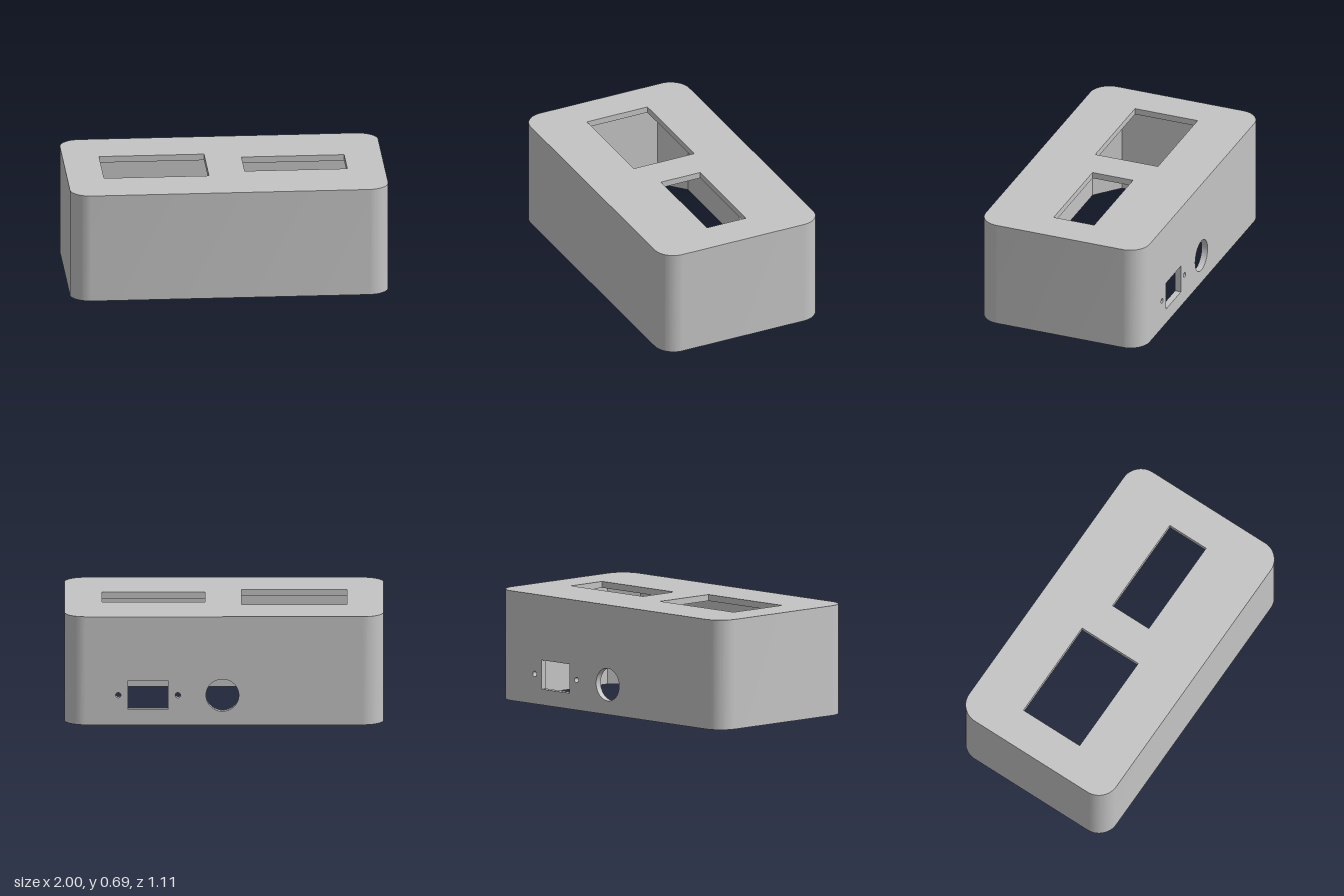
import * as THREE from 'three';
import { toCreasedNormals } from 'three/addons/utils/BufferGeometryUtils.js';

// Overall sizes
const HX = 1, HZ = 0.555, H = 0.695, R = 0.13;   // outer half sizes, height, corner radius
const IX = 0.965, IZ = 0.515, CEIL = 0.655;      // cavity half sizes and ceiling height
const CX = 0.81, CZ = 0.38;                      // where the corner posts start
const SCREW_DEPTH = 0.4;

const V = (x, y) => new THREE.Vector2(x, y);

// Counter-clockwise outlines
const rect = (x0, y0, x1, y1) => [V(x0, y0), V(x1, y0), V(x1, y1), V(x0, y1)];

function arc(cx, cy, r, start, sweep, n) {
  return Array.from({ length: n + 1 }, (_, i) => {
    const a = start + (sweep * i) / n;
    return V(cx + r * Math.cos(a), cy + r * Math.sin(a));
  });
}

const circle = (cx, cy, r, n) => arc(cx, cy, r, 0, Math.PI * 2, n).slice(0, n);

// Flat face with holes at depth w, facing +w (or -w when flipped)
function sheet(outline, holes, w, flip) {
  const shape = new THREE.Shape(outline);
  shape.holes = holes.map((h) => new THREE.Path(h));
  const g = new THREE.ShapeGeometry(shape);
  g.translate(0, 0, w);
  if (flip) {
    g.index.array.reverse();
    g.computeVertexNormals();
  }
  return g;
}

// Wall that follows an outline from depth w0 to w1, facing outward (or inward)
function ribbon(points, w0, w1, inward, closed = true) {
  const pos = [];
  const count = closed ? points.length : points.length - 1;
  for (let i = 0; i < count; i++) {
    let a = points[i], b = points[(i + 1) % points.length];
    if (inward) [a, b] = [b, a];
    pos.push(a.x, a.y, w0, b.x, b.y, w0, b.x, b.y, w1);
    pos.push(a.x, a.y, w0, b.x, b.y, w1, a.x, a.y, w1);
  }
  const g = new THREE.BufferGeometry();
  g.setAttribute('position', new THREE.Float32BufferAttribute(pos, 3));
  return toCreasedNormals(g, 0.5);
}

export function createModel() {
  const model = new THREE.Group();
  model.name = 'enclosure';
  const plastic = new THREE.MeshStandardMaterial({ color: 0xc4c4c4 });
  plastic.name = 'grey plastic';

  // Horizontal parts are drawn as (x, -z) and rise along y; back parts are drawn as seen from behind
  const add = (name, geometry, onBack = false) => {
    if (onBack) geometry.rotateY(Math.PI);
    else geometry.rotateX(-Math.PI / 2);
    const mesh = new THREE.Mesh(geometry, plastic);
    mesh.name = name;
    model.add(mesh);
  };

  // Outlines start and end at the back wall, which is built separately
  const ox = HX - R, oz = HZ - R, q = Math.PI / 2;
  const outer = [[-ox, oz], [-ox, -oz], [ox, -oz], [ox, oz]]
    .flatMap(([x, y], i) => arc(x, y, R, q * (i + 1), q, 24));
  const inner = [
    V(-CX, IZ), V(-IX, CZ), V(-IX, -CZ), V(-CX, -IZ),
    V(CX, -IZ), V(IX, -CZ), V(IX, CZ), V(CX, IZ),
  ];

  // Side walls and cavity with chamfered corner posts
  add('outerWalls', ribbon(outer, 0, H, false, false));
  add('innerWalls', ribbon(inner, 0, CEIL, true, false));

  // Top plate with two windows
  const windows = [rect(-0.77, -0.212, -0.11, 0.212), rect(0.12, -0.137, 0.765, 0.137)];
  add('topFace', sheet(outer, windows, H));
  add('ceiling', sheet(inner, windows, CEIL, true));
  windows.forEach((w) => add('windowEdge', ribbon(w, CEIL, H, true)));

  // Bottom rim with a blind screw hole in each corner
  const screws = [];
  for (const sx of [-1, 1]) for (const sz of [-1, 1]) screws.push(circle(sx * 0.925, sz * 0.48, 0.025, 24));
  add('bottomRim', sheet(outer, [inner, ...screws], 0, true));
  screws.forEach((s) => {
    add('screwHole', ribbon(s, 0, SCREW_DEPTH, true));
    add('screwHoleEnd', sheet(s, [], SCREW_DEPTH, true));
  });

  // Back wall with a socket cutout, its two screw holes and a round opening
  const cutouts = [
    rect(-0.602, 0.1, -0.351, 0.284),
    circle(-0.663, 0.19, 0.017, 24),
    circle(-0.289, 0.19, 0.017, 24),
    circle(-0.01, 0.19, 0.103, 48),
  ];
  add('backFace', sheet(rect(-ox, 0, ox, H), cutouts, HZ), true);
  add('backInnerFace', sheet(rect(-CX, 0, CX, CEIL), cutouts, IZ, true), true);
  cutouts.forEach((c) => add('cutoutEdge', ribbon(c, IZ, HZ, true), true));

  return model;
}
